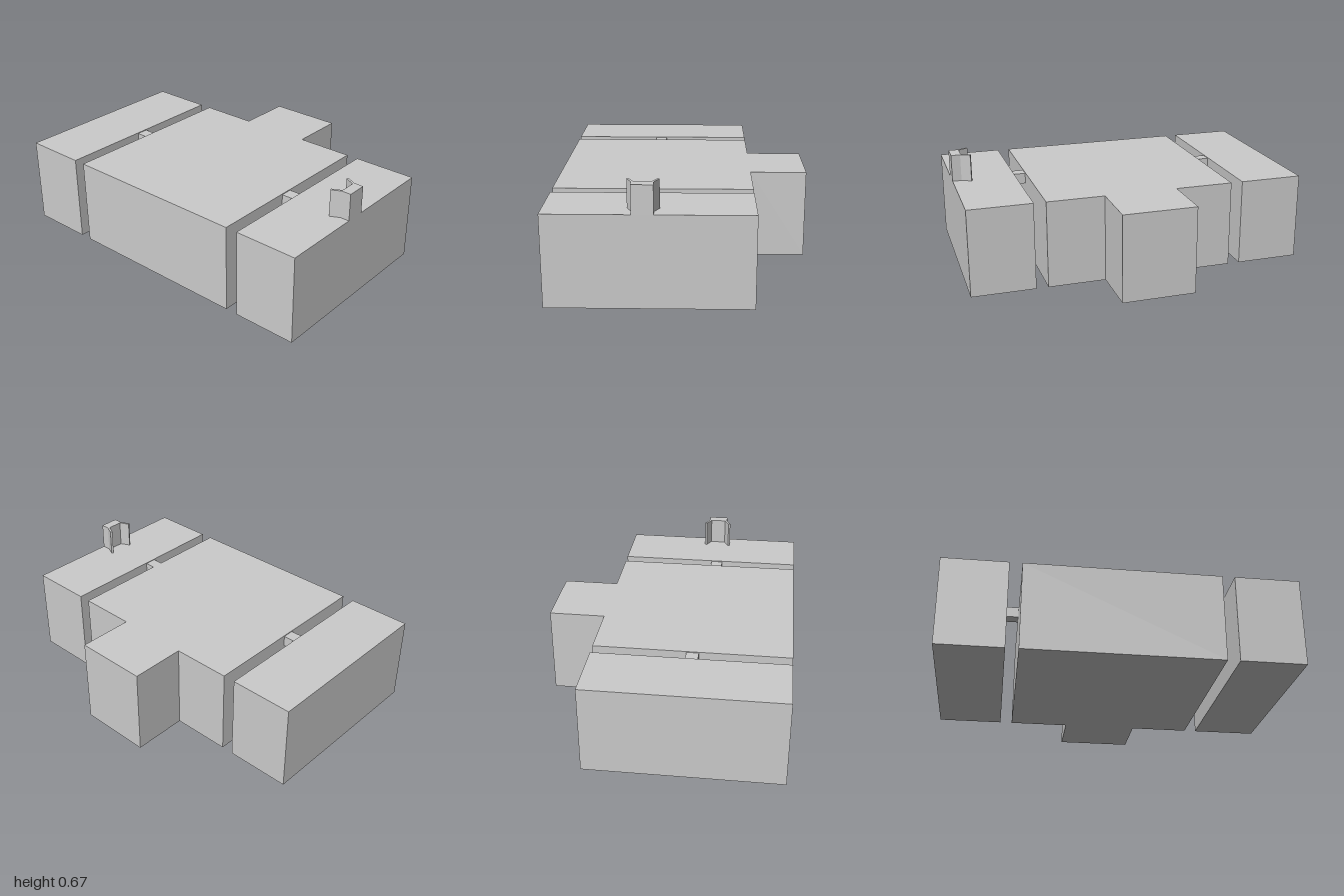
import * as THREE from 'three';

const material = new THREE.MeshStandardMaterial({ color: 0xcccccc, flatShading: true });

// Vertical prism from a plan outline of [x, z] points
function prism(name, plan, y0, y1) {
  const shape = new THREE.Shape(plan.map(([x, z]) => new THREE.Vector2(x, -z)));
  const geometry = new THREE.ExtrudeGeometry(shape, { depth: y1 - y0, bevelEnabled: false });
  geometry.rotateX(-Math.PI / 2).translate(0, y0, 0);
  const mesh = new THREE.Mesh(geometry, material);
  mesh.name = name;
  return mesh;
}

const rect = (x0, x1, z0, z1) => [[x0, z0], [x1, z0], [x1, z1], [x0, z1]];

export function createModel() {
  const group = new THREE.Group();
  group.name = 'model';
  const left = 0.392, right = -0.717, top = 0.515;
  const inner = 0.557, gap = 0.627;

  // Main block with the square projection on its left side
  group.add(prism('mainBlock', [
    [right, -inner], [left, -inner], [left, -0.213], [0.717, -0.213],
    [0.717, 0.218], [left, 0.218], [left, inner], [right, inner],
  ], 0, top));

  // End blocks, separated by narrow gaps
  group.add(prism('frontBlock', rect(right, left, gap, 1), 0, top));
  group.add(prism('backBlock', rect(right, left, -1, -gap), 0, top));

  // Small connectors bridging the gaps
  group.add(prism('frontConnector', rect(-0.244, -0.174, inner, gap), 0.447, 0.51));
  group.add(prism('backConnector', rect(-0.203, -0.133, -gap, -inner), 0.447, 0.51));

  // Upright bracket: solid base with two thin splayed arms
  const cx = -0.192;
  const half = [[0.058, 1], [0.058, 0.947], [0.085, 0.892], [0.073, 0.886], [0.046, 0.942]];
  const outline = [
    ...half.map(([x, z]) => [cx + x, z]),
    ...half.map(([x, z]) => [cx - x, z]).reverse(),
  ];
  group.add(prism('bracket', outline, top, 0.673));

  return group;
}
